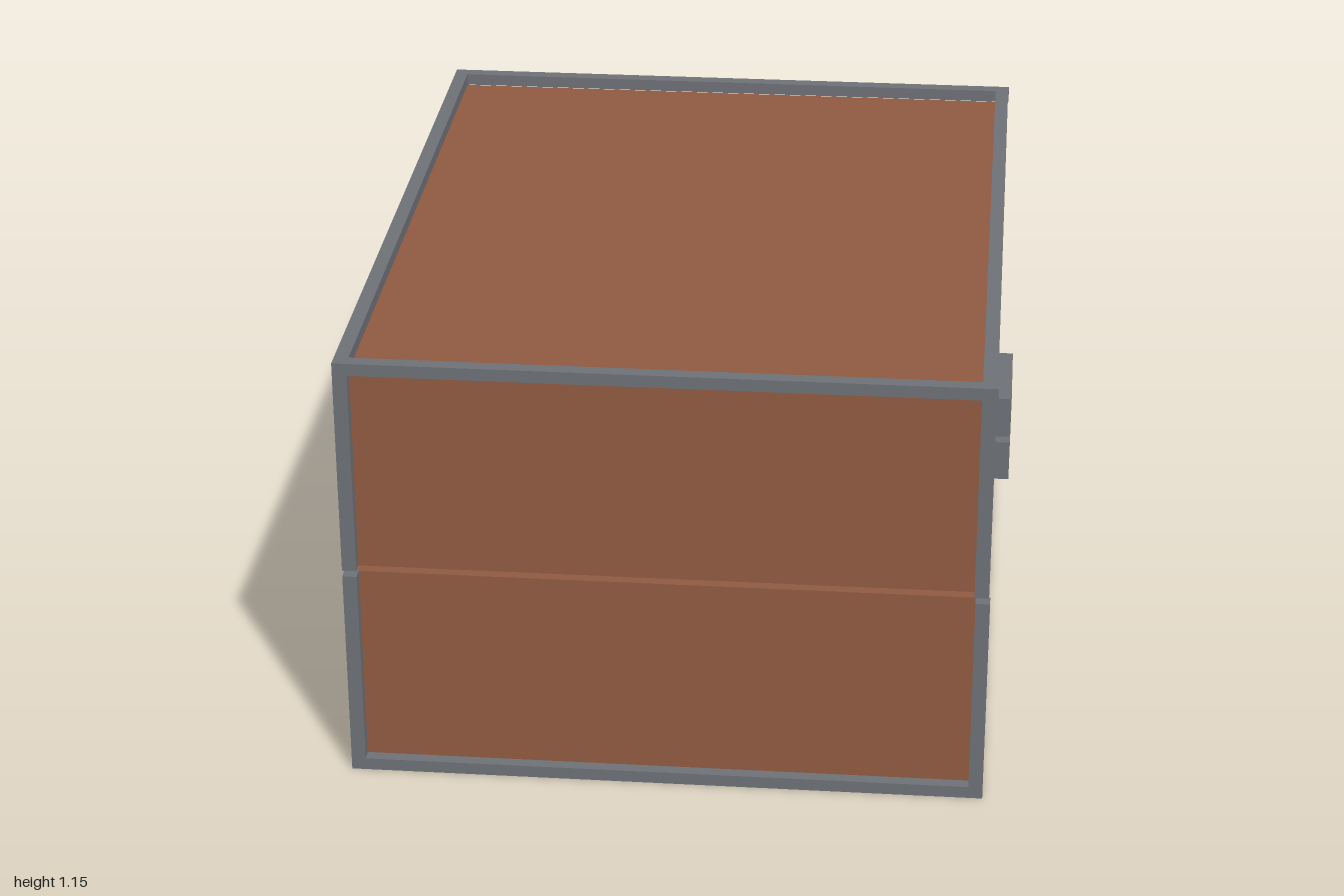
import * as THREE from 'three';

export function createModel() {
  const model = new THREE.Group();
  model.name = 'chest';
  const wood = new THREE.MeshStandardMaterial({ color: 0x8f5a40 });
  wood.name = 'brown wood';
  const metal = new THREE.MeshStandardMaterial({ color: 0x6d7076 });
  metal.name = 'grey metal';

  // Box given by its lower and upper corners
  function box(parent, name, material, [x0, y0, z0], [x1, y1, z1]) {
    const mesh = new THREE.Mesh(new THREE.BoxGeometry(x1 - x0, y1 - y0, z1 - z0), material);
    mesh.position.set((x0 + x1) / 2, (y0 + y1) / 2, (z0 + z1) / 2);
    mesh.name = name;
    parent.add(mesh);
  }

  const L = -0.825, R = 0.785, Z = 1, H = 1.15;
  const gapLow = 0.562, gapHigh = 0.578;
  const bar = 0.036, inset = 0.031, rim = 0.032;

  const halves = [
    { name: 'base', y0: 0, y1: gapLow, rimY: 0, body: [rim, gapLow], latch: [0.45, gapLow - 0.002], right: R },
    { name: 'lid', y0: gapHigh, y1: H, rimY: H - rim, body: [gapHigh, H - rim - 0.003], latch: [gapHigh, 0.69], right: R - 0.003 },
  ];

  for (const h of halves) {
    const group = new THREE.Group();
    group.name = h.name;
    model.add(group);

    // Wooden body, recessed inside the frame
    box(group, h.name + 'Body', wood,
      [L + inset, h.body[0], -Z + inset], [R - inset, h.body[1], Z - inset]);

    // Rim bars across the front and back, then along both sides
    const rimTop = h.rimY + rim;
    for (const z of [-Z, Z - bar])
      box(group, h.name + 'CrossBar', metal, [L, h.rimY, z], [R, rimTop, z + bar]);
    for (const x of [L, R - bar - 0.002])
      box(group, h.name + 'SideBar', metal, [x, h.rimY, -Z + bar], [x + bar, rimTop, Z - bar]);

    // Corner posts between the rim and the gap
    const postLow = h.name === 'base' ? rim : h.y0;
    const postHigh = h.name === 'base' ? h.y1 : H - rim;
    const back = h.name === 'base' ? -Z + 0.005 : -Z;
    for (const x of [L, h.right - bar])
      for (const z of [back, Z - bar])
        box(group, h.name + 'CornerPost', metal, [x, postLow, z], [x + bar, postHigh, z + bar]);

    // Half of the clasp on the left side
    box(group, h.name + 'Clasp', metal,
      [R - inset, h.latch[0], -0.175], [0.823, h.latch[1], 0.11]);
  }
  return model;
}
